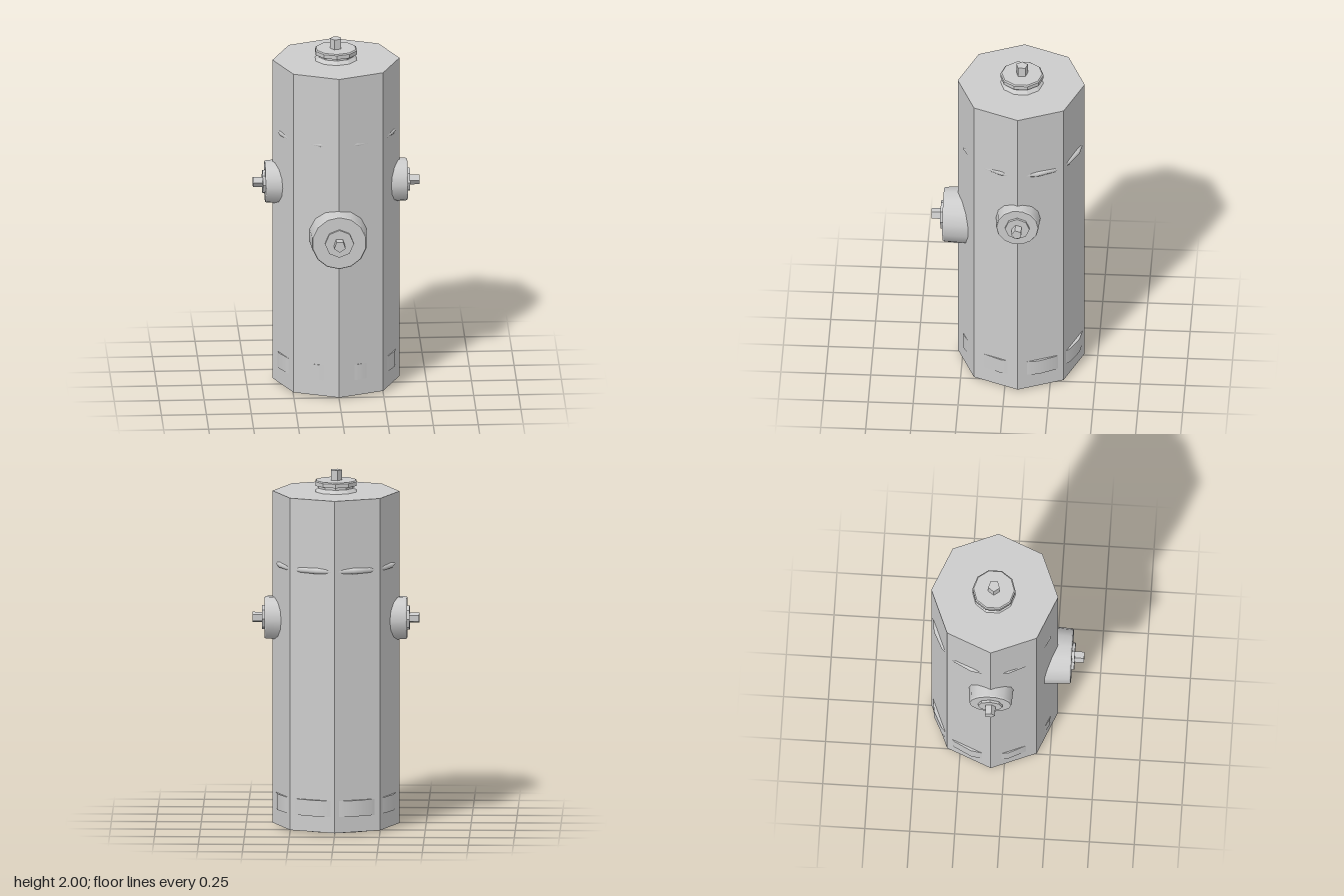
import * as THREE from 'three';

const CZ = -0.074; // column axis

function material(flatShading) {
  return new THREE.MeshStandardMaterial({ color: 0xcccccc, flatShading });
}
const flat = material(true);
const smooth = material(false);

function add(parent, name, geometry, mat, x = 0, y = 0, z = 0) {
  const mesh = new THREE.Mesh(geometry, mat);
  mesh.name = name;
  mesh.position.set(x, y, z);
  parent.add(mesh);
  return mesh;
}

// Upright cylinder given by its bottom and top heights
function drum(parent, name, rBottom, rTop, y0, y1, sides, mat, x = 0, z = 0) {
  const g = new THREE.CylinderGeometry(rTop, rBottom, y1 - y0, sides);
  return add(parent, name, g, mat, x, (y0 + y1) / 2, z);
}

// Hose outlet built along +y: tapered cap, washer and five-sided nut
function outlet(name, r, start, end, washerR, washerEnd, nutR, nutEnd) {
  const g = new THREE.Group();
  g.name = name;
  const edge = end - 0.008;
  drum(g, 'cap', r, r * 0.95, start, edge, 14, smooth);
  drum(g, 'capRim', r * 0.95, r * 0.92, edge, end, 14, flat);
  drum(g, 'washer', washerR, washerR, end, washerEnd, 8, flat);
  drum(g, 'nut', nutR, nutR, washerEnd, nutEnd, 5, flat);
  return g;
}

export function createModel() {
  const model = new THREE.Group();
  model.name = 'hydrant';

  // Octagonal column with a corner facing forward
  drum(model, 'column', 0.353, 0.353, 0.01, 1.88, 8, flat, 0, CZ);
  drum(model, 'foot', 0.277, 0.277, 0, 0.02, 20, flat, -0.006, -0.08);

  // Round flanges that just break through the column's faces
  drum(model, 'baseFlange', 0.339, 0.339, 0.1, 0.19, 20, smooth, 0, -0.082);
  const lens = [[0.3, 1.455], [0.332, 1.468], [0.34, 1.48], [0.332, 1.492], [0.3, 1.505]]
    .map(([r, y]) => new THREE.Vector2(r, y));
  add(model, 'upperFlange', new THREE.LatheGeometry(lens, 20), smooth, 0, 0, -0.082);

  // Stepped top cap and nut
  const bonnet = new THREE.Group();
  bonnet.name = 'bonnet';
  bonnet.position.z = CZ - 0.004;
  drum(bonnet, 'collar', 0.125, 0.1, 1.875, 1.9, 10, flat);
  drum(bonnet, 'neck', 0.1, 0.1, 1.9, 1.915, 10, flat);
  drum(bonnet, 'disc', 0.12, 0.12, 1.915, 1.937, 10, flat);
  drum(bonnet, 'discBevel', 0.12, 0.113, 1.937, 1.943, 10, flat);
  drum(bonnet, 'nut', 0.034, 0.034, 1.943, 2, 5, flat).rotation.y = -Math.PI / 2;
  model.add(bonnet);

  // Front outlet
  const front = outlet('frontOutlet', 0.163, 0.2, 0.358, 0.08, 0.373, 0.033, 0.425);
  front.rotation.x = Math.PI / 2;
  front.position.set(-0.003, 0.945, 0);
  model.add(front);

  // Mirrored side outlets
  for (const side of [-1, 1]) {
    const name = side > 0 ? 'leftOutlet' : 'rightOutlet';
    const o = outlet(name, 0.125, 0.26, 0.396, 0.068, 0.41, 0.03, 0.463);
    o.rotation.z = -side * Math.PI / 2;
    o.position.set(0, 1.167, CZ);
    model.add(o);
  }
  return model;
}
